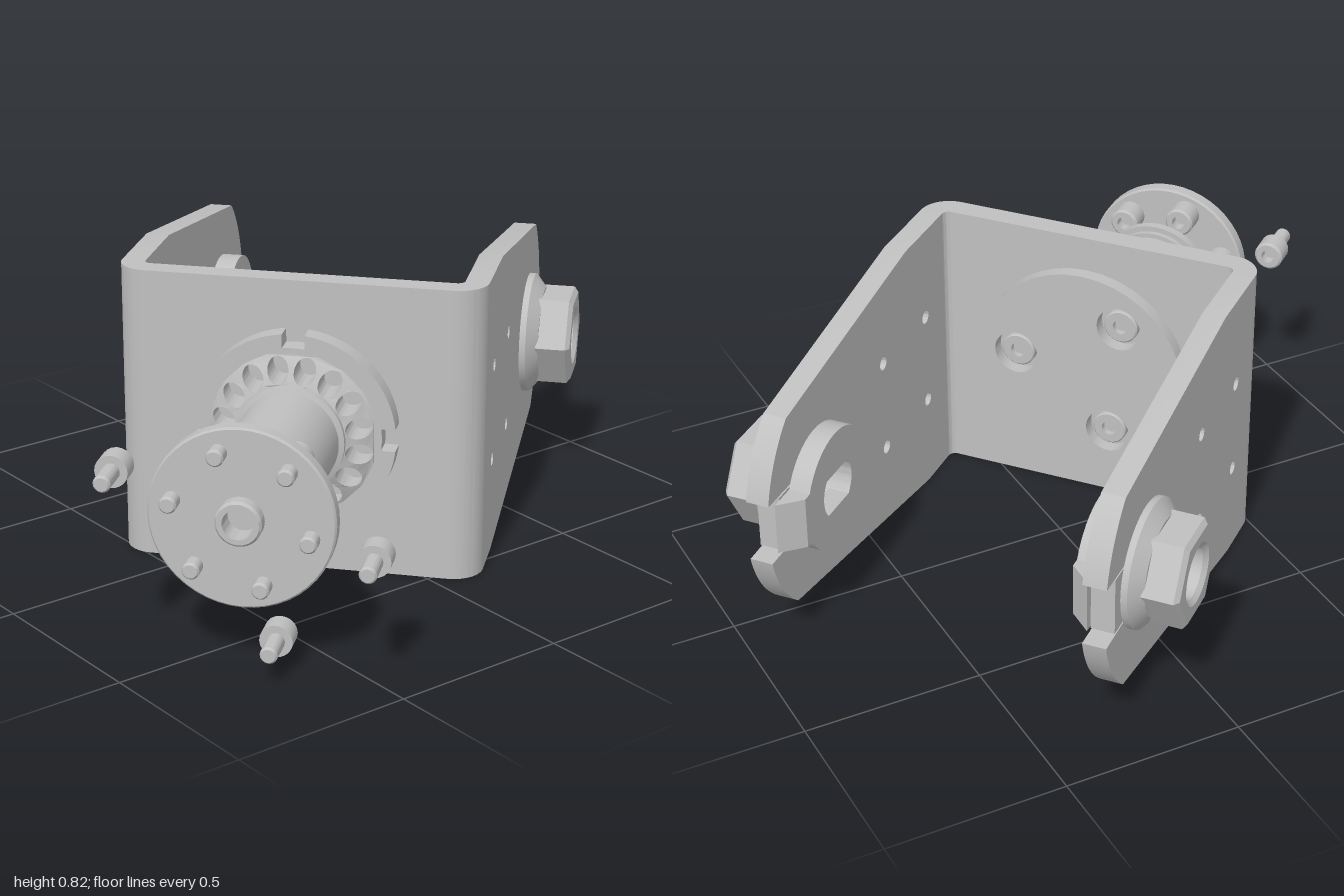
import * as THREE from 'three';
import { toCreasedNormals } from 'three/addons/utils/BufferGeometryUtils.js';

const steel = new THREE.MeshStandardMaterial({ color: 0xc0c0c0 });
steel.name = 'grey steel';

const T = 0.065, R = 0.085, H = 0.82;          // sheet thickness, outer bend radius, height
const LEFT = -0.48, RIGHT = 0.52, FRONT = 0.31; // outer faces of the bracket
const MID = 0.022, Y = 0.41, AXLE = -0.588;     // hub centre, axle position

function add(parent, geo, name) {
  const mesh = new THREE.Mesh(toCreasedNormals(geo, 0.5), steel);
  mesh.name = name;
  parent.add(mesh);
  return mesh;
}

function extrude(shape, depth, z = 0, extra = {}) {
  const g = new THREE.ExtrudeGeometry(shape, { depth, bevelEnabled: false, curveSegments: 20, ...extra });
  return g.translate(0, 0, z);
}

// Turned part along z; the profile runs counter-clockwise as (radius, z)
function turned(points, segments = 48) {
  return new THREE.LatheGeometry(points.map(p => new THREE.Vector2(...p)), segments).rotateX(Math.PI / 2);
}

function circle(r, x = 0, y = 0, Type = THREE.Path) {
  const p = new Type();
  p.absarc(x, y, r, 0, Math.PI * 2, false);
  return p;
}

// Side arm outline, with an open axle slot in the rounded tip
function armGeometry() {
  const s = new THREE.Shape();
  const slot = 0.085, cx = -0.489, r = 0.376;
  const a = Math.asin(0.285 / r), b = Math.asin(slot / r);
  s.moveTo(FRONT - R, 0);
  s.lineTo(FRONT - R, H);
  s.lineTo(-0.015, H);
  s.absarc(cx, Y + 0.005, r, Math.PI - a, Math.PI - b, false);
  s.lineTo(AXLE, Y + slot);
  s.absarc(AXLE, Y, slot, Math.PI / 2, -Math.PI / 2, true);
  s.absarc(cx, Y - 0.005, r, Math.PI + b, Math.PI + a, false);
  s.lineTo(0.085, 0);
  s.closePath();
  for (const x of [-0.177, 0.097]) for (const y of [0.275, 0.55]) s.holes.push(circle(0.02, x, y));
  return extrude(s, T).rotateY(-Math.PI / 2);
}

function buildBracket() {
  const g = new THREE.Group();
  g.name = 'bracket';
  add(g, armGeometry().translate(RIGHT, 0, 0), 'leftArm');
  add(g, armGeometry().translate(LEFT + T, 0, 0), 'rightArm');
  const width = RIGHT - LEFT - 2 * R;
  add(g, new THREE.BoxGeometry(width, H, T).translate((LEFT + RIGHT) / 2, H / 2, FRONT - T / 2), 'frontPanel');
  for (const side of [0, 1]) {
    const s = new THREE.Shape();
    const a = side * Math.PI / 2;
    s.absarc(0, 0, R, a, a + Math.PI / 2, false);
    s.absarc(0, 0, R - T, a + Math.PI / 2, a, true);
    const x = side ? LEFT + R : RIGHT - R;
    add(g, extrude(s, H).rotateX(Math.PI / 2).translate(x, H, FRONT - R), 'bend');
  }
  return g;
}

// Axle nut outside the arm and keyed washer inside it; z points away from the arm
function buildAxleNut() {
  const g = new THREE.Group();
  g.name = 'axleNut';
  const hex = new THREE.Shape();
  for (let i = 0; i < 6; i++) {
    const a = i * Math.PI / 3, r = 0.13;
    hex[i ? 'lineTo' : 'moveTo'](r * Math.cos(a), r * Math.sin(a));
  }
  hex.closePath();
  hex.holes.push(circle(0.085));
  add(g, extrude(hex, 0.1, 0.03, { bevelEnabled: true, bevelSize: 0.014, bevelThickness: 0.012, bevelSegments: 1 }), 'hexNut');
  add(g, turned([[0.075, 0], [0.175, 0], [0.175, 0.018], [0.135, 0.05], [0.075, 0.05], [0.075, 0]]), 'nutFlange');

  const key = new THREE.Shape();
  const r = 0.172, h = 0.075, a = Math.asin(h / r);
  key.absarc(0, 0, r, a, Math.PI * 2 - a, false);
  key.lineTo(0.235, -h);
  key.lineTo(0.235, h);
  key.closePath();
  // axle hole with two flats
  const hole = new THREE.Path(), f = 0.75;
  hole.absarc(0, 0, 0.08, -f, f, false);
  hole.absarc(0, 0, 0.08, Math.PI - f, Math.PI + f, false);
  hole.closePath();
  key.holes.push(hole);
  const geo = extrude(key, 0.06, -T - 0.06);
  const p = geo.attributes.position;
  for (let i = 0; i < p.count; i++) if (p.getX(i) > 0.2 && p.getZ(i) < -T - 0.03) p.setX(i, 0.18);
  add(g, geo, 'keyedWasher');
  add(g, new THREE.BoxGeometry(0.13, 0.165, T).translate(0.145, 0, -T / 2), 'washerKey');
  return g;
}

// Socket screw: head behind z = 0, shank in front
function buildScrew(x, y, z) {
  const g = new THREE.Group();
  g.name = 'screw';
  g.position.set(x, y, z);
  add(g, turned([[0, -0.035], [0.02, -0.035], [0.02, -0.065], [0.037, -0.065], [0.043, -0.059], [0.043, 0], [0, 0]], 20), 'screwHead');
  add(g, turned([[0, 0], [0.023, 0], [0.023, 0.08], [0.018, 0.086], [0, 0.086]], 16), 'screwShank');
  return g;
}

function buildHub() {
  const g = new THREE.Group();
  g.name = 'hub';
  g.position.set(MID, Y, 0);

  // Backing disc with three counterbored screws
  const disc = circle(0.31, 0, 0, THREE.Shape);
  const spots = [5, 125, 245].map(d => d * Math.PI / 180).map(a => [0.2 * Math.cos(a), 0.2 * Math.sin(a)]);
  for (const [x, y] of spots) disc.holes.push(circle(0.066, x, y));
  add(g, extrude(disc, 0.04, FRONT - T - 0.04), 'backingDisc');
  for (const [x, y] of spots) {
    const head = turned([[0, -0.008], [0.022, -0.008], [0.022, -0.026], [0.046, -0.026], [0.05, -0.022], [0.05, 0], [0, 0]], 24);
    add(g, head.translate(x, y, FRONT - T), 'backingScrew');
  }

  // Lock ring with four notches
  const ring = new THREE.Shape();
  const d = 0.11, q = Math.PI / 2;
  for (let k = 0; k < 4; k++) {
    ring.absarc(0, 0, 0.278, k * q + d, (k + 1) * q - d, false);
    ring.absarc(0, 0, 0.24, (k + 1) * q - d * 1.16, (k + 1) * q + d * 1.16, false);
  }
  ring.closePath();
  ring.holes.push(circle(0.225));
  add(g, extrude(ring, 0.055, FRONT), 'lockRing');

  // Sloped disc with a circle of oval pockets
  const cone = circle(0.23, 0, 0, THREE.Shape);
  cone.holes.push(circle(0.12));
  for (let i = 0; i < 16; i++) {
    const a = (i + 0.5) * Math.PI / 8;
    const oval = new THREE.Path();
    oval.absellipse(0.187 * Math.cos(a), 0.187 * Math.sin(a), 0.035, 0.029, 0, Math.PI * 2, false, a);
    cone.holes.push(oval);
  }
  const geo = extrude(cone, 0.05, FRONT);
  const p = geo.attributes.position;
  for (let i = 0; i < p.count; i++) {
    if (p.getZ(i) > FRONT + 0.02) p.setZ(i, 0.415 - 0.5 * (Math.hypot(p.getX(i), p.getY(i)) - 0.13));
  }
  add(g, geo, 'pocketDisc');

  add(g, turned([[0, FRONT], [0.15, FRONT], [0.15, 0.42], [0.136, 0.425], [0.136, 0.79], [0, 0.79]]), 'tube');
  add(g, turned([[0, 0.79], [0.15, 0.79], [0.15, 0.805], [0.166, 0.805], [0.166, 0.83],
    [0.145, 0.83], [0.145, 0.845], [0.1, 0.845], [0.1, 0.915], [0, 0.915]]), 'collar');

  // End flange, its hollow boss and fitted screws
  add(g, turned([[0, 0.912], [0.235, 0.912], [0.24, 0.917], [0.24, 0.95], [0.235, 0.955], [0.06, 0.955],
    [0.06, 0.985], [0.054, 0.992], [0.04, 0.992], [0.04, 0.93], [0, 0.93]]), 'endFlange');
  for (let i = 0; i < 6; i++) {
    const a = (48 + i * 60) * Math.PI / 180;
    g.add(buildScrew(0.18 * Math.cos(a), 0.18 * Math.sin(a), 0.912));
  }
  // Loose screws
  for (const [x, y] of [[-0.33, 0.095], [0.332, -0.085], [0.085, -0.325]]) g.add(buildScrew(x, y, 0.95));
  return g;
}

export function createModel() {
  const model = new THREE.Group();
  model.name = 'forkBracket';
  const body = new THREE.Group();
  body.name = 'body';
  body.rotation.y = 40 * Math.PI / 180;
  model.add(body);
  body.add(buildBracket(), buildHub());

  const leftNut = buildAxleNut(), rightNut = buildAxleNut();
  leftNut.position.set(RIGHT, Y, AXLE);
  leftNut.rotation.set(0, Math.PI / 2, 0);
  rightNut.position.set(LEFT, Y, AXLE);
  rightNut.rotation.set(0, -Math.PI / 2, Math.PI);
  body.add(leftNut, rightNut);
  return model;
}
